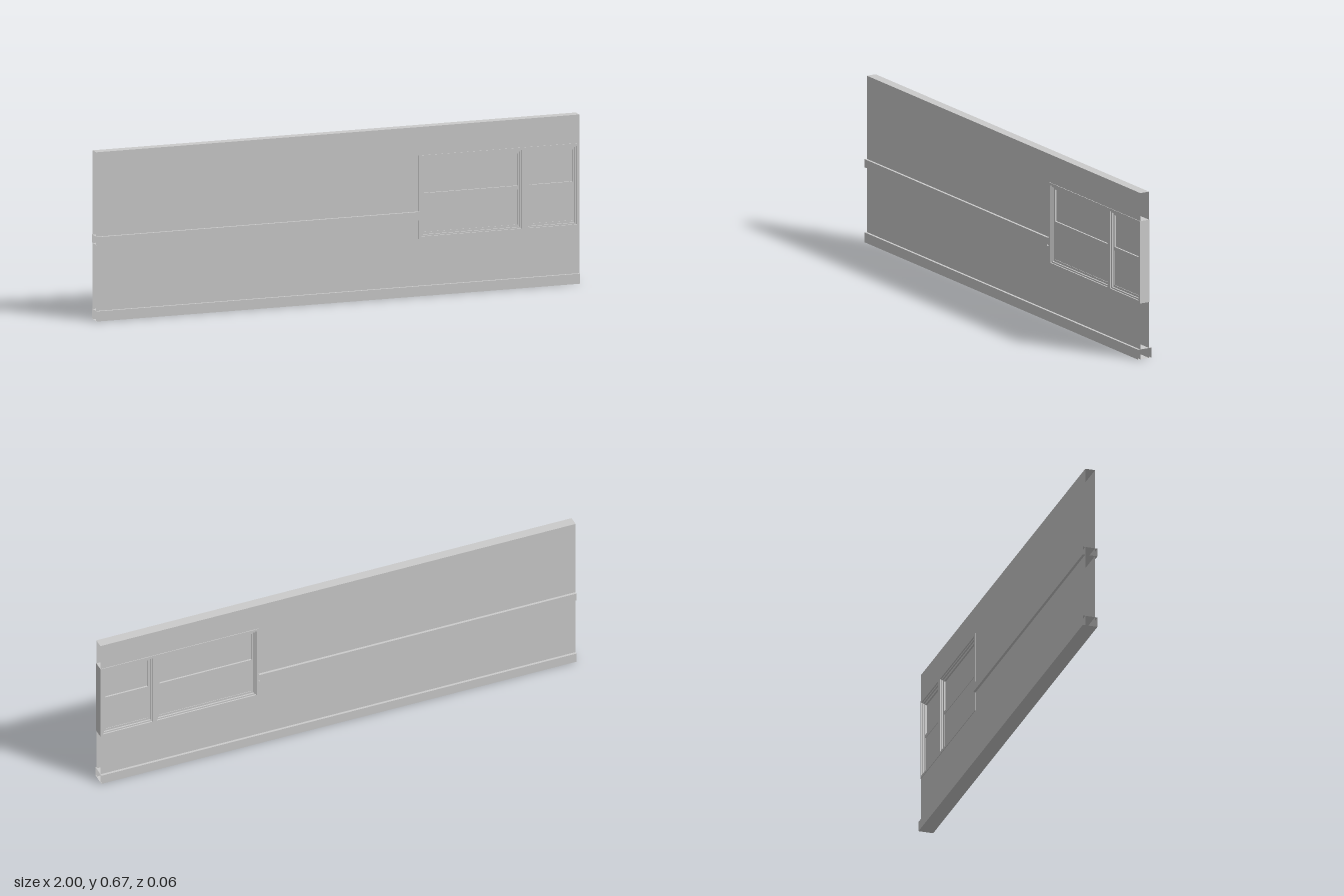
import * as THREE from 'three';

const material = new THREE.MeshStandardMaterial({ color: 0xcccccc, flatShading: true, side: THREE.DoubleSide });

function add(parent, name, geometry, x = 0, y = 0, z = 0) {
  const mesh = new THREE.Mesh(geometry, material);
  mesh.name = name;
  mesh.position.set(x, y, z);
  parent.add(mesh);
  return mesh;
}

// Box running along x with both ends left open
function openBand(parent, name, x0, x1, y0, y1, depth) {
  const g = new THREE.BoxGeometry(x1 - x0, y1 - y0, depth);
  g.setIndex(Array.from(g.index.array).slice(12));
  g.clearGroups();
  return add(parent, name, g, (x0 + x1) / 2, (y0 + y1) / 2);
}

function rectPoints([x0, x1, y0, y1]) {
  return [[x0, y0], [x1, y0], [x1, y1], [x0, y1]].map(([x, y]) => new THREE.Vector2(x, y));
}

// Rectangular frame with rectangular openings, centred on z = 0
function frame(parent, name, outer, openings, depth) {
  const shape = new THREE.Shape(rectPoints(outer));
  openings.forEach((o) => shape.holes.push(new THREE.Path(rectPoints(o).reverse())));
  const g = new THREE.ExtrudeGeometry(shape, { depth, bevelEnabled: false });
  return add(parent, name, g, 0, 0, -depth / 2);
}

function inset([x0, x1, y0, y1], d) {
  return [x0 + d, x1 - d, y0 + d, y1 - d];
}

// Double-hung window: stepped frame, recessed upper pane, proud lower sash
function windowUnit(parent, name, outer) {
  const unit = new THREE.Group();
  unit.name = name;
  parent.add(unit);
  const stop = inset(outer, 0.01);
  const sash = inset(outer, 0.016);
  const pane = inset(outer, 0.025);
  const meet = 0.4;
  frame(unit, 'casing', outer, [stop], 0.045);
  frame(unit, 'stop', stop, [sash], 0.034);
  frame(unit, 'upperSash', [sash[0], sash[1], meet, sash[3]], [[pane[0], pane[1], meet + 0.004, pane[3]]], 0.022);
  frame(unit, 'lowerSash', [sash[0], sash[1], sash[2], meet], [[pane[0], pane[1], pane[2], meet - 0.01]], 0.022);
  const glass = (label, y0, y1, depth) =>
    add(unit, label, new THREE.BoxGeometry(pane[1] - pane[0], y1 - y0, depth), (pane[0] + pane[1]) / 2, (y0 + y1) / 2);
  glass('upperPane', meet, pane[3], 0.008);
  glass('lowerPane', pane[2], meet - 0.008, 0.018);
}

export function createModel() {
  const model = new THREE.Group();
  model.name = 'wallWithWindows';
  const height = 0.67, left = 0.335, sill = 0.225, head = 0.557, mullion = 0.772;

  // Two wall sheets, notched at one end for the windows
  const outline = [[-1, 0], [1, 0], [1, sill], [left, sill], [left, head], [1, head], [1, height], [-1, height]];
  const shape = new THREE.Shape(outline.map(([x, y]) => new THREE.Vector2(x, y)));
  add(model, 'frontWall', new THREE.ShapeGeometry(shape), 0, 0, 0.02);
  const back = new THREE.ShapeGeometry(shape);
  const order = Array.from(back.index.array);
  for (let i = 0; i < order.length; i += 3) [order[i], order[i + 1]] = [order[i + 1], order[i]];
  back.setIndex(order);
  back.attributes.normal.array.forEach((n, i, a) => { a[i] = -n; });
  add(model, 'backWall', back, 0, 0, -0.02);
  const top = add(model, 'wallTop', new THREE.PlaneGeometry(2, 0.04), 0, height, 0);
  top.rotation.x = -Math.PI / 2;

  // Mouldings wrapping both sides of the wall
  openBand(model, 'skirting', -1, 1, 0, 0.04, 0.06);
  openBand(model, 'chairRail', -1, left, 0.302, 0.335, 0.06);

  // Wide and narrow windows side by side
  windowUnit(model, 'wideWindow', [left, mullion, sill, head]);
  windowUnit(model, 'narrowWindow', [mullion, 1, sill, head]);

  return model;
}
